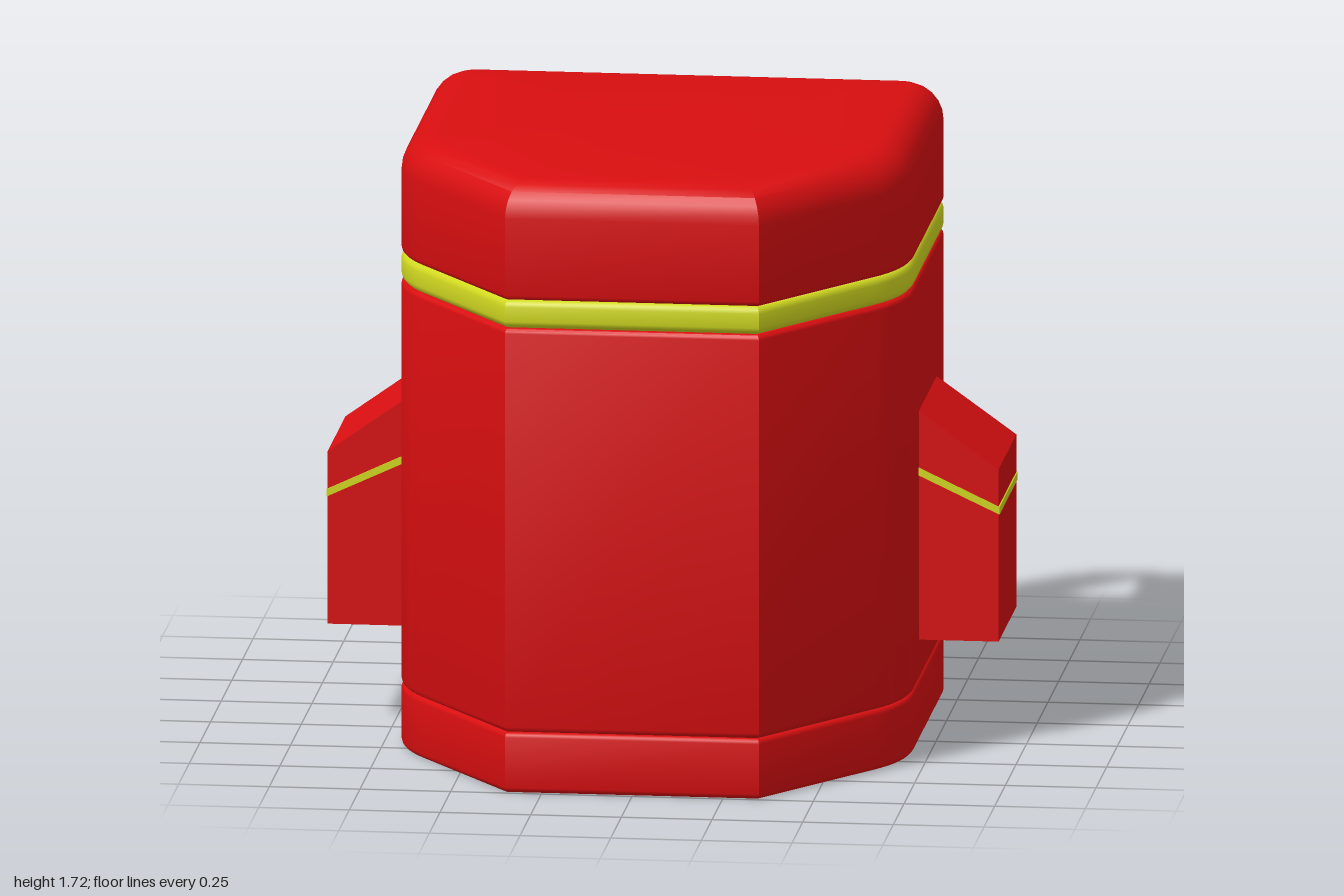
import * as THREE from 'three';
import { toCreasedNormals } from 'three/addons/utils/BufferGeometryUtils.js';

const material = (name, color) => {
  const m = new THREE.MeshStandardMaterial({ color });
  m.name = name;
  return m;
};

// Plan outline of the pack (x, z): flat rounded back, tapering front
function planOutline() {
  const half = new THREE.Shape();
  half.moveTo(0.58, -0.432);
  half.absarc(0.58, -0.307, 0.125, -Math.PI / 2, 0, false);
  half.lineTo(0.705, 0.38);
  half.quadraticCurveTo(0.705, 0.51, 0.63, 0.614);
  half.lineTo(0.35, 1);
  const pts = half.getPoints(8).filter((p, i, a) => i === 0 || p.distanceTo(a[i - 1]) > 1e-4);
  return [...pts, ...pts.slice().reverse().map((p) => new THREE.Vector2(-p.x, p.y))];
}

// Moves every edge of the outline inwards by d, keeping mitred corners
function insetOutline(pts, d) {
  const n = pts.length;
  const normal = (a, b) => new THREE.Vector2(b.y - a.y, a.x - b.x).normalize();
  return pts.map((p, i) => {
    const n1 = normal(pts[(i + n - 1) % n], p);
    const n2 = normal(p, pts[(i + 1) % n]);
    return p.clone().addScaledVector(n1.clone().add(n2), -d / (1 + n1.dot(n2)));
  });
}

// Closed solid from stacked outlines; each ring is [height, inset]
function stackGeometry(outline, rings) {
  const n = outline.length;
  const pos = [];
  const idx = [];
  for (const [y, inset] of rings) {
    for (const p of insetOutline(outline, inset)) pos.push(p.x, y, p.y);
  }
  for (let r = 0; r < rings.length - 1; r++) {
    for (let i = 0; i < n; i++) {
      const a = r * n + i;
      const b = r * n + ((i + 1) % n);
      idx.push(a, a + n, b, b, a + n, b + n);
    }
  }
  const top = (rings.length - 1) * n;
  const c = rings.length * n;
  pos.push(0, rings[0][0], 0.2, 0, rings[rings.length - 1][0], 0.2);
  for (let i = 0; i < n; i++) {
    const j = (i + 1) % n;
    idx.push(c, i, j, c + 1, top + j, top + i);
  }
  const g = new THREE.BufferGeometry();
  g.setAttribute('position', new THREE.Float32BufferAttribute(pos, 3));
  g.setIndex(idx);
  return toCreasedNormals(g, 0.62);
}

// Quarter-round edge rings: at the bottom (dir 1) or top (dir -1)
function roundEdge(y, r, dir, steps) {
  const rings = [];
  for (let i = 0; i <= steps; i++) {
    const t = (i / steps) * Math.PI / 2;
    rings.push([y + dir * r * (1 - Math.cos(t)), r * (1 - Math.sin(t))]);
  }
  return dir > 0 ? rings : rings.reverse();
}

// Curved band: part of an ellipse in the side plane, extruded across x
function strapGeometry(width) {
  const ellipse = (ry, rz) => {
    const pts = [];
    const start = -0.45;
    const end = Math.PI + 0.45;
    for (let i = 0; i <= 16; i++) {
      const t = start + ((end - start) * i) / 16;
      pts.push(new THREE.Vector2(0.56 + rz * Math.sin(t), 0.855 + ry * Math.cos(t)));
    }
    return pts;
  };
  const shape = new THREE.Shape([...ellipse(0.8, 0.44), ...ellipse(0.78, 0.42).reverse()]);
  const g = new THREE.ExtrudeGeometry(shape, { depth: width, bevelEnabled: false });
  g.rotateY(Math.PI / 2);
  return toCreasedNormals(g, 0.6);
}

export function createModel() {
  const red = material('red fabric', 0xd90e10);
  const yellow = material('yellow trim', 0xd2da20);
  const black = material('black webbing', 0x0e0e0e);
  const model = new THREE.Group();
  model.name = 'backpack';

  const add = (name, geometry, mat, parent = model) => {
    const mesh = new THREE.Mesh(geometry, mat);
    mesh.name = name;
    parent.add(mesh);
    return mesh;
  };

  // Main pack: base, body, zip band and rounded lid
  const outline = planOutline();
  const section = (y0, y1, r0, r1, steps1 = 3) =>
    stackGeometry(outline, [...roundEdge(y0, r0, 1, 3), ...roundEdge(y1, r1, -1, steps1)]);
  add('base', section(0.002, 0.172, 0.015, 0.014), red);
  add('body', section(0.172, 1.308, 0.016, 0.014), red);
  add('zipBand', section(1.308, 1.388, 0.02, 0.02), yellow);
  add('lid', section(1.388, 1.717, 0.014, 0.1, 6), red);

  // Side pockets with a sloped flap and a slanted zip
  for (const side of [1, -1]) {
    const pocket = new THREE.Group();
    pocket.name = side > 0 ? 'leftPocket' : 'rightPocket';
    const prism = (name, corners, z0, z1, mat) => {
      const shape = new THREE.Shape(corners.map(([x, y]) => new THREE.Vector2(side * x, y)));
      const g = new THREE.ExtrudeGeometry(shape, { depth: z1 - z0, bevelEnabled: false });
      add(name, g.translate(0, 0, z0), mat, pocket);
    };
    prism('pocketBody', [[0.68, 0.292], [0.925, 0.292], [0.925, 0.652], [0.68, 0.77]], -0.15, 0.27, red);
    prism('pocketZip', [[0.68, 0.766], [0.928, 0.65], [0.928, 0.671], [0.68, 0.788]], -0.153, 0.273, yellow);
    prism('pocketFlap', [[0.68, 0.784], [0.925, 0.669], [0.925, 0.777], [0.705, 0.935], [0.68, 0.95]], -0.15, 0.27, red);
    model.add(pocket);
  }

  // Shoulder straps
  add('leftStrap', strapGeometry(0.208), black).position.x = 0.257;
  add('rightStrap', strapGeometry(0.208), black).position.x = -0.432;

  return model;
}
